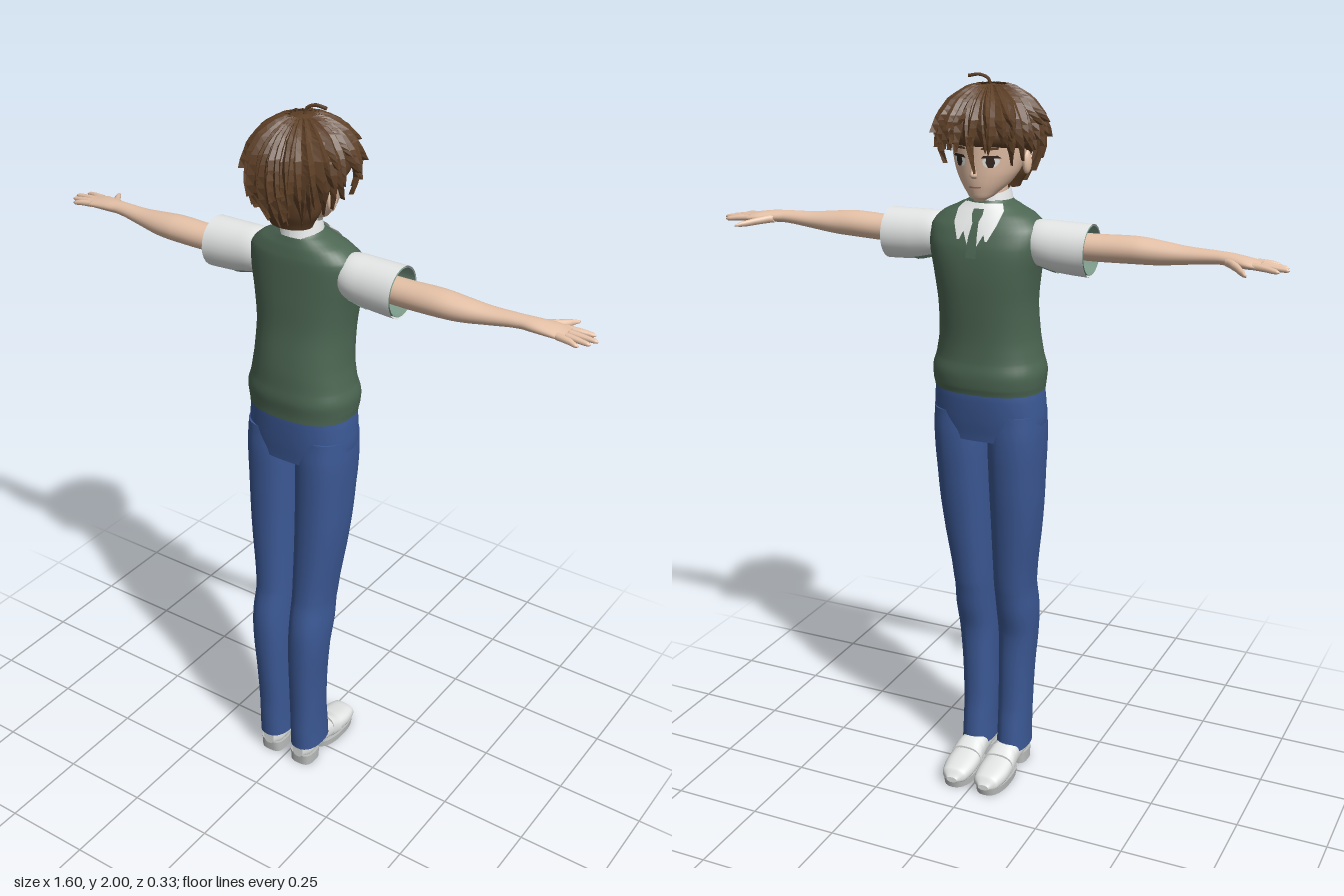
import * as THREE from 'three';

const paint = (name, color, side = THREE.FrontSide) => {
  const m = new THREE.MeshStandardMaterial({ color, side });
  m.name = name;
  return m;
};

// Axis maps: cross-section (a, b) swept along t
const UP = (a, t, b) => [a, t, b];
const SIDE = (a, t, b) => [t, b, a];
const DEPTH = (a, t, b) => [b, a, t];

// Smoothly interpolated ring [t, centreA, centreB, radiusA, radiusB, squareness]
function ringAt(rings, i, f) {
  const at = (k) => rings[Math.max(0, Math.min(rings.length - 1, k))];
  const [p, q, r, s] = [at(i - 1), at(i), at(i + 1), at(i + 2)];
  return q.map((_, k) => k === 0 ? q[0] + (r[0] - q[0]) * f
    : 0.5 * (2 * q[k] + (r[k] - p[k]) * f + (2 * p[k] - 5 * q[k] + 4 * r[k] - s[k]) * f * f
      + (3 * q[k] - p[k] - 3 * r[k] + s[k]) * f * f * f));
}

const power = (v, e) => Math.sign(v) * Math.abs(v) ** (2 / e);

function loft(rings, map = UP, { n = 28, sub = 4, caps = true, from = 0, to = Math.PI * 2 } = {}) {
  const pos = [], idx = [], list = [];
  for (let i = 0; i < rings.length - 1; i++)
    for (let k = 0; k < sub; k++) list.push(ringAt(rings, i, k / sub));
  list.push(rings[rings.length - 1]);
  const closed = to - from > 6.28, cols = closed ? n : n + 1;
  const point = ([t, ca, cb, ra, rb, e = 2], j) => {
    const a = from + (to - from) * j / n;
    return map(ca + ra * power(Math.cos(a), e), t, cb + rb * power(Math.sin(a), e));
  };
  for (const r of list) for (let j = 0; j < cols; j++) pos.push(...point(r, j));
  for (let i = 0; i < list.length - 1; i++)
    for (let j = 0; j < n; j++) {
      const A = i * cols + j, C = i * cols + (j + 1) % cols, B = A + cols, D = C + cols;
      idx.push(A, B, C, C, B, D);
    }
  if (caps) for (const [r, top] of [[list[0], false], [list[list.length - 1], true]]) {
    const c = pos.length / 3;
    pos.push(...map(r[1], r[0], r[2]));
    for (let j = 0; j < n; j++) pos.push(...point(r, j));
    for (let j = 0; j < n; j++) {
      const u = c + 1 + j, v = c + 1 + (j + 1) % n;
      idx.push(c, top ? v : u, top ? u : v);
    }
  }
  return build(pos, idx);
}

function build(pos, idx) {
  const g = new THREE.BufferGeometry();
  g.setAttribute('position', new THREE.Float32BufferAttribute(pos, 3));
  g.setIndex(idx);
  g.computeVertexNormals();
  return g;
}

// Thin plate lying on the -z side of a lofted body; rows are [y, x0, x1] from top to bottom
function plate(rings, rows, lift, n = 6) {
  const pos = [], idx = [];
  rows.forEach(([y, x0, x1], i) => {
    let s = 0;
    while (s < rings.length - 2 && rings[s + 1][0] < y) s++;
    const f = (y - rings[s][0]) / (rings[s + 1][0] - rings[s][0]);
    const [, , cz, rx, rz, e = 2] = ringAt(rings, s, f);
    for (let j = 0; j <= n; j++) {
      const x = x0 + (x1 - x0) * j / n;
      pos.push(x, y, cz - rz * Math.max(0, 1 - Math.abs(x / rx) ** e) ** (1 / e) - lift);
      if (i && j) {
        const D = i * (n + 1) + j, C = D - 1, B = D - n - 1, A = B - 1;
        idx.push(A, B, C, C, B, D);
      }
    }
  });
  return build(pos, idx);
}

function mirrored(g) {
  const m = g.clone().scale(-1, 1, 1), ix = m.index.array;
  for (let i = 0; i < ix.length; i += 3) [ix[i], ix[i + 1]] = [ix[i + 1], ix[i]];
  m.computeVertexNormals();
  return m;
}

// Hair silhouette: radius at each height
const HAIR = [[1.70, 0.075], [1.76, 0.108], [1.81, 0.128], [1.86, 0.13], [1.90, 0.122], [1.94, 0.095], [1.965, 0.055], [1.98, 0.008]];
function hairRadius(y) {
  let i = 0;
  while (i < HAIR.length - 2 && HAIR[i + 1][0] < y) i++;
  const [a, b] = [HAIR[i], HAIR[i + 1]];
  return a[1] + (b[1] - a[1]) * (y - a[0]) / (b[0] - a[0]);
}

// Tapered ridged lock from the crown; angle 0 is the face side (-z)
function lock(angle, endY, width, twist, lift, flare) {
  const pos = [], idx = [], steps = 9;
  for (let i = 0; i <= steps; i++) {
    const s = i / steps, y = 1.972 - (1.972 - endY) * s ** 1.5;
    const r = hairRadius(y) + flare * s ** 4;
    const w = width * (s < 0.65 ? 1 : 1 - (s - 0.65) / 0.35);
    for (const k of [-1, 0, 1]) {
      const a = angle + twist * s * s + k * w, q = r + (k ? -0.006 : lift);
      pos.push(Math.sin(a) * q, y, 0.004 - Math.cos(a) * q * 1.08);
    }
    if (i) for (const k of [0, 1]) {
      const A = (i - 1) * 3 + k, C = A + 3;
      idx.push(A, A + 1, C, A + 1, C + 1, C);
    }
  }
  const g = build(pos, idx).toNonIndexed();
  g.computeVertexNormals();
  return g;
}

export function createModel() {
  const model = new THREE.Group();
  model.name = 'student';
  const skin = paint('skin', 0xe6c2a8), hair = paint('brown hair', 0x5e4027, THREE.DoubleSide);
  const knit = paint('green knit', 0x4c6652), denim = paint('blue trousers', 0x3b5894);
  const white = paint('white cloth', 0xe6e8e8, THREE.DoubleSide), lining = paint('pale green lining', 0x7d9c8b, THREE.DoubleSide);
  const sole = paint('grey sole', 0xbcbebe), dark = paint('dark eyes', 0x33241c), lip = paint('lips', 0xb9786a);

  const add = (name, g, mat) => {
    const m = new THREE.Mesh(g, mat);
    m.name = name;
    model.add(m);
    return m;
  };
  const pair = (name, g, mat) => {
    add(name + 'Left', g, mat);
    add(name + 'Right', mirrored(g), mat);
  };

  // Head and neck
  const head = [[1.688, 0, -0.066, 0.014, 0.012], [1.70, 0, -0.055, 0.033, 0.033], [1.73, 0, -0.026, 0.062, 0.07],
    [1.76, 0, -0.012, 0.081, 0.088], [1.80, 0, 0, 0.094, 0.103], [1.85, 0, 0, 0.1, 0.106], [1.90, 0, 0, 0.095, 0.1], [1.95, 0, 0, 0.05, 0.05]];
  add('head', loft(head), skin);
  add('neck', loft([[1.62, 0, 0.012, 0.045, 0.042], [1.68, 0, 0.012, 0.04, 0.04], [1.75, 0, 0.008, 0.042, 0.042]]), skin);
  add('nose', loft([[1.748, 0, -0.097, 0.007, 0.005], [1.757, 0, -0.102, 0.009, 0.014], [1.775, 0, -0.1, 0.005, 0.009], [1.80, 0, -0.098, 0.003, 0.004]], UP, { n: 10 }), skin);
  pair('ear', new THREE.SphereGeometry(1, 14, 10).scale(0.011, 0.03, 0.018).translate(0.094, 1.78, 0.018), skin);

  // Face plates
  pair('eyeWhite', plate(head, [[1.803, 0.03, 0.056], [1.794, 0.023, 0.062], [1.783, 0.026, 0.056], [1.777, 0.034, 0.048]], 0.002), white);
  pair('iris', plate(head, [[1.803, 0.034, 0.05], [1.79, 0.032, 0.053], [1.778, 0.037, 0.048]], 0.004), dark);
  pair('eyelash', plate(head, [[1.808, 0.028, 0.058], [1.801, 0.021, 0.066]], 0.004), dark);
  pair('eyebrow', plate(head, [[1.828, 0.024, 0.062], [1.822, 0.02, 0.06]], 0.003), hair);
  add('mouth', plate(head, [[1.728, -0.018, 0.018], [1.724, -0.014, 0.014]], 0.003), lip);

  // Hair: inner cap and three layers of locks
  add('hairCap', loft([[1.71, 0, 0.055, 0.058, 0.042], [1.75, 0, 0.055, 0.08, 0.058], [1.80, 0, 0.045, 0.09, 0.078], [1.835, 0, 0.004, 0.114, 0.12],
    [1.88, 0, 0.004, 0.117, 0.125], [1.93, 0, 0.004, 0.096, 0.102], [1.965, 0, 0.004, 0.045, 0.048], [1.972, 0, 0.004, 0.01, 0.01]]), hair);
  let seed = 7;
  const rnd = () => (seed = (seed * 16807) % 2147483647) / 2147483647;
  const fringe = (a) => a < 0.75 ? 1.805 : a < 1.25 ? 1.775 : a < 1.85 ? 1.808 : a < 2.3 ? 1.745 : 1.712;
  [[24, 0, 0.19, 0], [22, 0.028, 0.17, 0.006], [18, 0.07, 0.15, 0.01]].forEach(([count, rise, width, flare], layer) => {
    for (let i = 0; i < count; i++) {
      let a = (i + 0.5 * (layer % 2) + 0.3 * rnd()) / count * Math.PI * 2;
      if (a > Math.PI) a -= Math.PI * 2;
      const end = fringe(Math.abs(a)) + rise + 0.022 * rnd();
      add('hairLock', lock(a, end, width, (rnd() - 0.5) * 0.35, 0.006 + 0.003 * layer, flare + 0.006 * rnd()), hair);
    }
  });
  add('longFringe', lock(0.1, 1.765, 0.13, -0.2, 0.01, 0.004), hair);
  add('cowlick', new THREE.TubeGeometry(new THREE.CatmullRomCurve3([[0, 1.965, 0], [0.004, 1.985, -0.004], [0.025, 1.995, -0.01], [0.055, 1.991, -0.014]]
    .map((p) => new THREE.Vector3(...p))), 14, 0.0045, 6), hair);

  // Knitted vest
  const vest = [[1.18, 0, 0, 0.15, 0.11, 2.4], [1.20, 0, -0.002, 0.153, 0.113, 2.4], [1.235, 0, -0.001, 0.155, 0.116, 2.4], [1.27, 0, 0, 0.146, 0.112, 2.3],
    [1.33, 0, -0.002, 0.136, 0.109, 2.3], [1.42, 0, -0.012, 0.133, 0.105, 2.4], [1.50, 0, -0.017, 0.142, 0.104, 2.5], [1.57, 0, -0.017, 0.155, 0.099, 2.5],
    [1.62, 0, -0.01, 0.155, 0.088, 2.4], [1.65, 0, -0.003, 0.125, 0.074, 2.3], [1.672, 0, 0.002, 0.08, 0.062, 2.1], [1.685, 0, 0.004, 0.056, 0.056, 2]];
  add('vest', loft(vest, UP, { n: 40 }), knit);

  // Shirt front, collar and tie
  add('shirtFront', plate(vest, [[1.68, -0.045, 0.045], [1.66, -0.05, 0.05], [1.63, -0.038, 0.038], [1.59, -0.018, 0.018], [1.555, 0, 0]], 0.003), white);
  const collar = new THREE.CylinderGeometry(0.05, 0.06, 0.05, 28, 2, true);
  const cp = collar.attributes.position;
  for (let i = 0; i < cp.count; i++) cp.setY(i, cp.getY(i) + cp.getZ(i) * 0.25);
  collar.computeVertexNormals();
  add('collarBand', collar.translate(0, 1.687, 0.006), white);
  pair('collarWing', plate(vest, [[1.68, 0.008, 0.052], [1.665, 0.011, 0.064], [1.635, 0.02, 0.06], [1.595, 0.036, 0.042]], 0.009), white);
  add('tieKnot', plate(vest, [[1.668, -0.014, 0.014], [1.655, -0.015, 0.015], [1.638, -0.009, 0.009]], 0.009), knit);
  add('tieBlade', plate(vest, [[1.638, -0.008, 0.008], [1.60, -0.012, 0.012], [1.55, -0.015, 0.015]], 0.006), knit);

  // Short sleeves with pale lining and underarm panel
  const sleeve = [[0.1, -0.008, 1.588, 0.045, 0.045], [0.145, -0.009, 1.582, 0.06, 0.06], [0.2, -0.01, 1.576, 0.064, 0.066], [0.286, -0.01, 1.573, 0.066, 0.068]];
  const grown = (d) => sleeve.map(([t, a, b, ra, rb]) => [t, a, b, ra + d, rb + d]);
  pair('sleeve', loft(sleeve, SIDE, { caps: false }), white);
  pair('sleeveLining', loft(grown(-0.005), SIDE, { caps: false }), lining);
  pair('underarmPanel', loft(grown(0.002).slice(1, 3), SIDE, { caps: false, n: 10, from: 4.1, to: 5.4 }), lining);

  // Arms and hands
  pair('arm', loft([[0.12, -0.005, 1.58, 0.035, 0.034], [0.3, 0.002, 1.58, 0.039, 0.035], [0.4, 0.004, 1.583, 0.042, 0.035], [0.46, 0.003, 1.582, 0.038, 0.031],
    [0.53, -0.002, 1.583, 0.029, 0.023], [0.61, -0.009, 1.587, 0.023, 0.017], [0.65, -0.013, 1.586, 0.028, 0.016], [0.69, -0.02, 1.583, 0.034, 0.014],
    [0.728, -0.021, 1.58, 0.034, 0.01]], SIDE), skin);
  [[0.78, -0.045, -0.058], [0.798, -0.028, -0.032], [0.79, -0.011, -0.009], [0.77, 0.005, 0.013]].forEach(([tip, z0, z1], i) =>
    pair('finger' + (i + 1), loft([[0.71, z0, 1.582, 0.009, 0.009], [0.745, (z0 + z1) / 2, 1.58, 0.0085, 0.008],
      [tip - 0.008, z1, 1.577, 0.006, 0.006], [tip, z1, 1.576, 0.002, 0.002]], SIDE, { n: 10 }), skin));
  pair('thumb', loft([[0.64, -0.025, 1.583, 0.016, 0.012], [0.675, -0.058, 1.578, 0.017, 0.01], [0.7, -0.092, 1.574, 0.013, 0.008],
    [0.714, -0.113, 1.572, 0.004, 0.003]], SIDE, { n: 12 }), skin);

  // Trousers
  add('trouserHips', loft([[1.045, 0, 0.004, 0.149, 0.093, 2.5], [1.10, 0, 0.002, 0.156, 0.1, 2.4], [1.16, 0, 0, 0.153, 0.105, 2.3], [1.19, 0, 0, 0.149, 0.105, 2.3]], UP, { n: 40 }), denim);
  pair('trouserLeg', loft([[0.065, 0.055, 0.05, 0.046, 0.068], [0.12, 0.055, 0.053, 0.045, 0.067], [0.2, 0.055, 0.058, 0.046, 0.063], [0.32, 0.057, 0.062, 0.048, 0.066],
    [0.43, 0.061, 0.063, 0.053, 0.069], [0.51, 0.063, 0.052, 0.055, 0.077], [0.6, 0.062, 0.035, 0.055, 0.077], [0.8, 0.073, 0.018, 0.067, 0.087],
    [0.95, 0.077, 0.008, 0.073, 0.094], [1.05, 0.079, 0.004, 0.076, 0.096], [1.12, 0.08, 0.002, 0.074, 0.09]].map((r) => [...r, 2.3])), denim);

  // Loafers with strap, front sole and separate heel
  const shoe = [[-0.162, 0.026, 0.05, 0.008, 0.016], [-0.145, 0.033, 0.05, 0.022, 0.036], [-0.1, 0.038, 0.051, 0.027, 0.045], [-0.05, 0.045, 0.051, 0.031, 0.044],
    [0, 0.058, 0.052, 0.038, 0.039], [0.05, 0.062, 0.053, 0.042, 0.036], [0.09, 0.06, 0.053, 0.038, 0.034], [0.112, 0.055, 0.053, 0.028, 0.018]].map((r) => [...r, 2.5]);
  pair('shoe', loft(shoe, DEPTH), white);
  pair('shoeStrap', loft(shoe.slice(3, 5).map(([t, a, b, ra, rb, e]) => [t < -0.02 ? -0.06 : -0.025, a + (t < -0.02 ? -0.001 : -0.005), b, ra + 0.004, rb + 0.003, e]), DEPTH), white);
  pair('shoeSole', loft([[0, 0.051, -0.07, 0.044, 0.088, 2.4], [0.022, 0.051, -0.07, 0.046, 0.092, 2.4]], UP, { sub: 1 }), sole);
  pair('shoeHeel', loft([[0, 0.053, 0.072, 0.036, 0.038, 3], [0.035, 0.053, 0.072, 0.037, 0.04, 3]], UP, { sub: 1 }), sole);
  return model;
}
